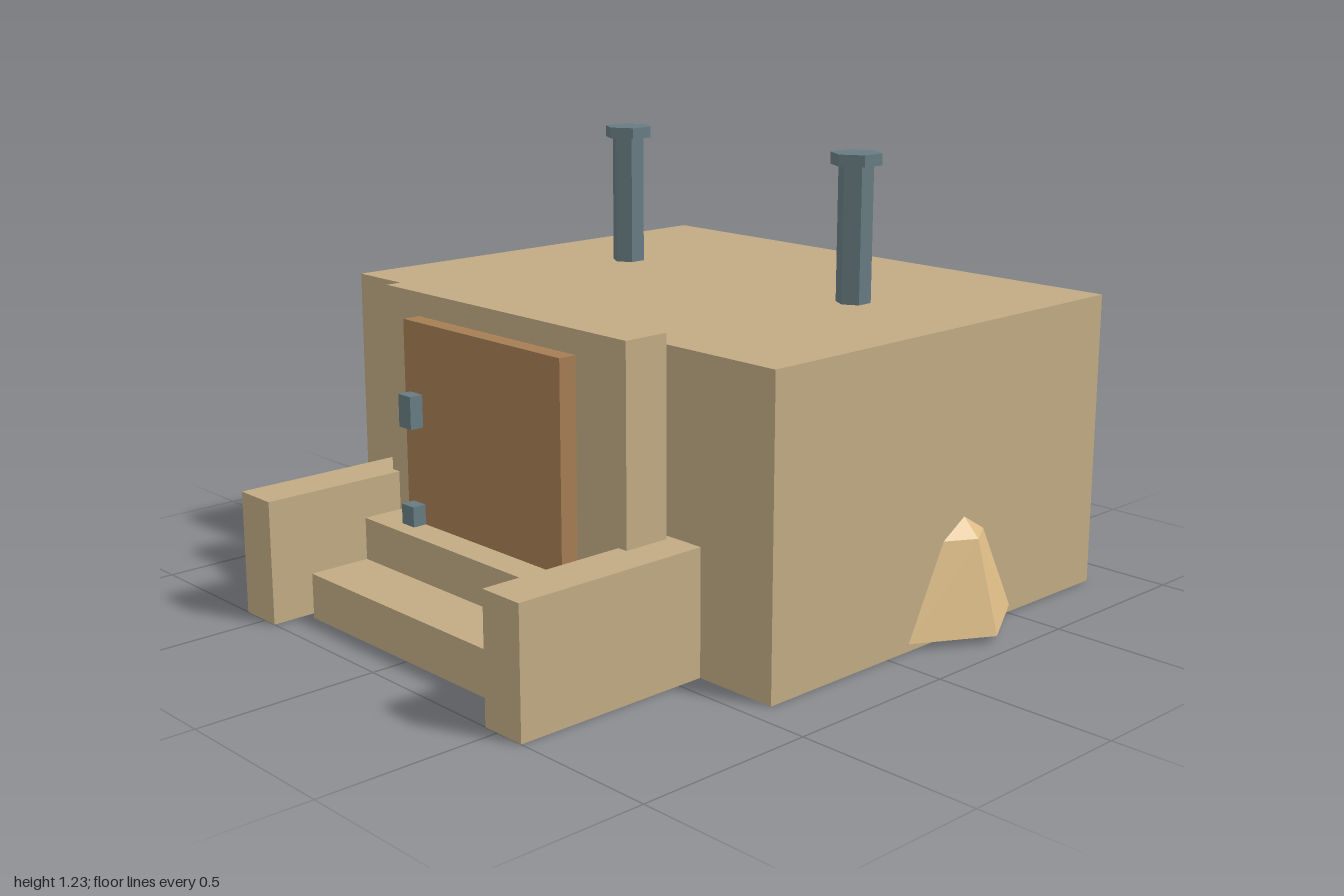
import * as THREE from 'three';
import { ConvexGeometry } from 'three/addons/geometries/ConvexGeometry.js';

const mat = (color) => new THREE.MeshStandardMaterial({ color, flatShading: true });

export function createModel() {
  const model = new THREE.Group();
  model.name = 'bunker';
  const wall = mat(0xc2ab84);
  const sand = mat(0xdcbc86);
  const wood = mat(0xa57d53);
  const metal = mat(0x677b82);

  const add = (name, geometry, material, x = 0, y = 0, z = 0) => {
    const mesh = new THREE.Mesh(geometry, material);
    mesh.name = name;
    mesh.position.set(x, y, z);
    model.add(mesh);
    return mesh;
  };
  // Box given by its limits on each axis
  const box = (name, material, [x0, x1], [y0, y1], [z0, z1]) =>
    add(name, new THREE.BoxGeometry(x1 - x0, y1 - y0, z1 - z0), material,
      (x0 + x1) / 2, (y0 + y1) / 2, (z0 + z1) / 2);

  // Main block and entrance
  box('body', wall, [-0.83, 0.83], [0, 0.83], [-0.875, 0.428]);
  box('doorFrame', wall, [-0.485, 0.485], [0, 0.865], [0.447, 0.58]);
  box('door', wood, [-0.34, 0.302], [0.02, 0.8], [0.57, 0.632]);
  for (const y of [0.255, 0.56])
    box('hinge', metal, [-0.317, -0.265], [y - 0.045, y + 0.045], [0.62, 0.672]);

  // Three stacked steps, each set back from the one below
  for (let i = 0; i < 3; i++) {
    const front = 0.895 - i * 0.177;
    box('step', wall, [-0.425, 0.425], [i * 0.12, 0.126 + i * 0.118], [front - 0.275, front]);
  }

  // Low walls beside the steps
  for (const s of [-1, 1])
    box('sideRail', wall, s > 0 ? [0.455, 0.587] : [-0.587, -0.455], [0, 0.342], [0.428, 1]);

  // Hexagonal chimneys with wider caps
  for (const x of [-0.47, 0.43]) {
    add('chimney', new THREE.CylinderGeometry(0.048, 0.048, 0.42, 6), metal, x, 1.0, -0.297);
    add('chimneyCap', new THREE.CylinderGeometry(0.07, 0.07, 0.032, 6), metal, x, 1.218, -0.297);
  }

  // Faceted earth mounds leaning on the walls (local +z points away from the wall)
  const mound = (name, halfWidth, depth, midHalf, midDepth, midY, topY, x, z, turn) => {
    const points = [[0, 0.02, depth], [0, midY, midDepth], [0, topY, 0]];
    for (const s of [-1, 1]) points.push([s * halfWidth, 0.02, 0], [s * midHalf, midY, 0]);
    const geometry = new ConvexGeometry(points.map((p) => new THREE.Vector3(...p)));
    add(name, geometry, sand, x, 0, z).rotation.y = turn;
  };
  for (const s of [-1, 1])
    mound('sideMound', 0.212, 0.12, 0.083, 0.048, 0.268, 0.318, s * 0.83, -0.297, s * Math.PI / 2);
  mound('backMound', 0.41, 0.125, 0.245, 0.073, 0.265, 0.362, 0, -0.875, Math.PI);

  return model;
}
